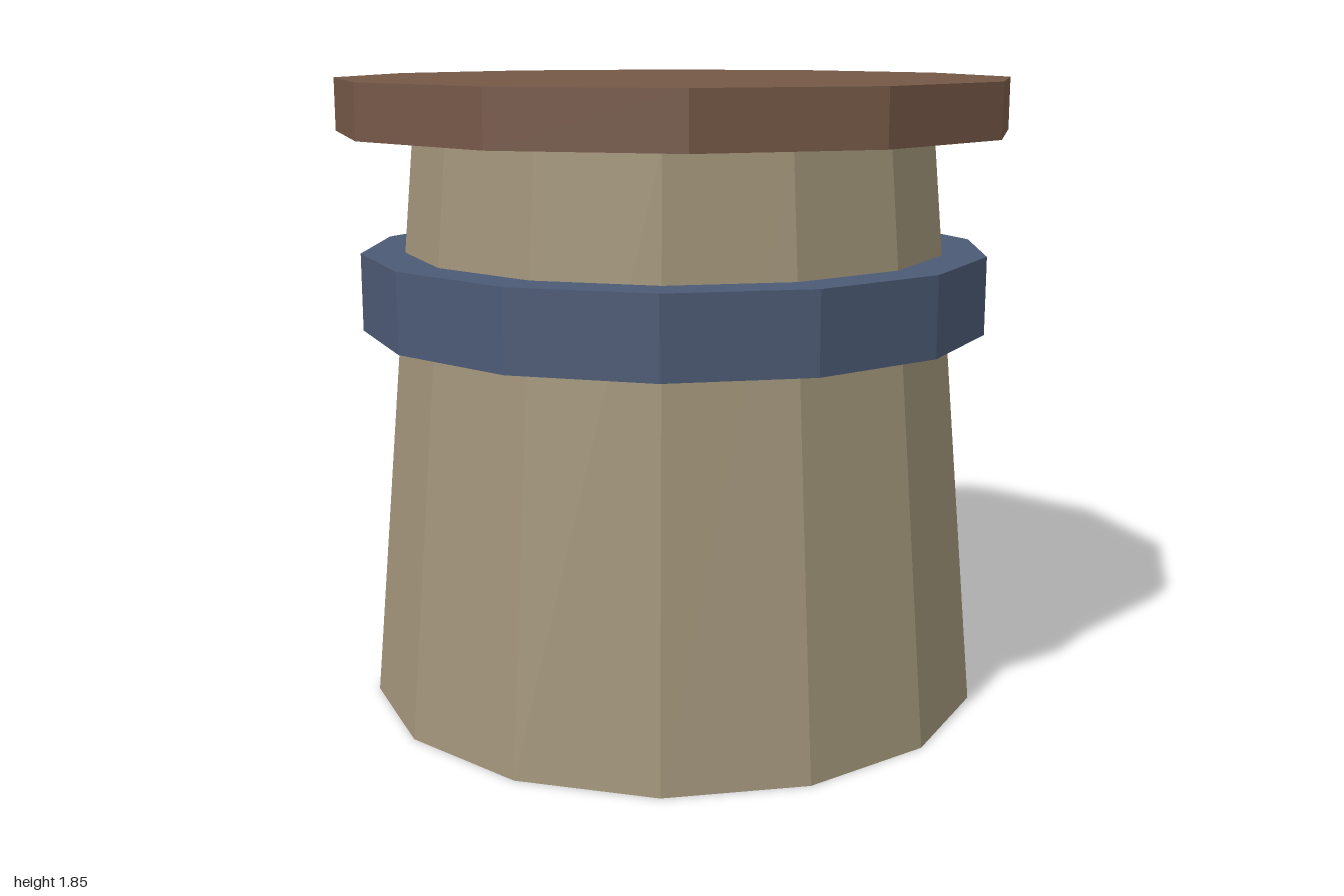
import * as THREE from 'three';

const paint = (name, color) => {
  const m = new THREE.MeshStandardMaterial({ color, flatShading: true });
  m.name = name;
  return m;
};

export function createModel() {
  const group = new THREE.Group();
  group.name = 'tower';
  const stone = paint('stone', 0xa09379);
  const blue = paint('blue', 0x4c5a75);
  const brown = paint('brown', 0x755847);

  // Faceted drum between two heights
  const drum = (name, rTop, rBottom, y0, y1, sides, material) => {
    const mesh = new THREE.Mesh(new THREE.CylinderGeometry(rTop, rBottom, y1 - y0, sides), material);
    mesh.name = name;
    mesh.position.y = (y0 + y1) / 2;
    group.add(mesh);
  };

  drum('taperedBody', 0.77, 0.923, 0, 1.695, 14, stone);
  drum('band', 0.93, 0.93, 1.12, 1.348, 14, blue);
  drum('cap', 1, 1, 1.695, 1.85, 12, brown);
  return group;
}
